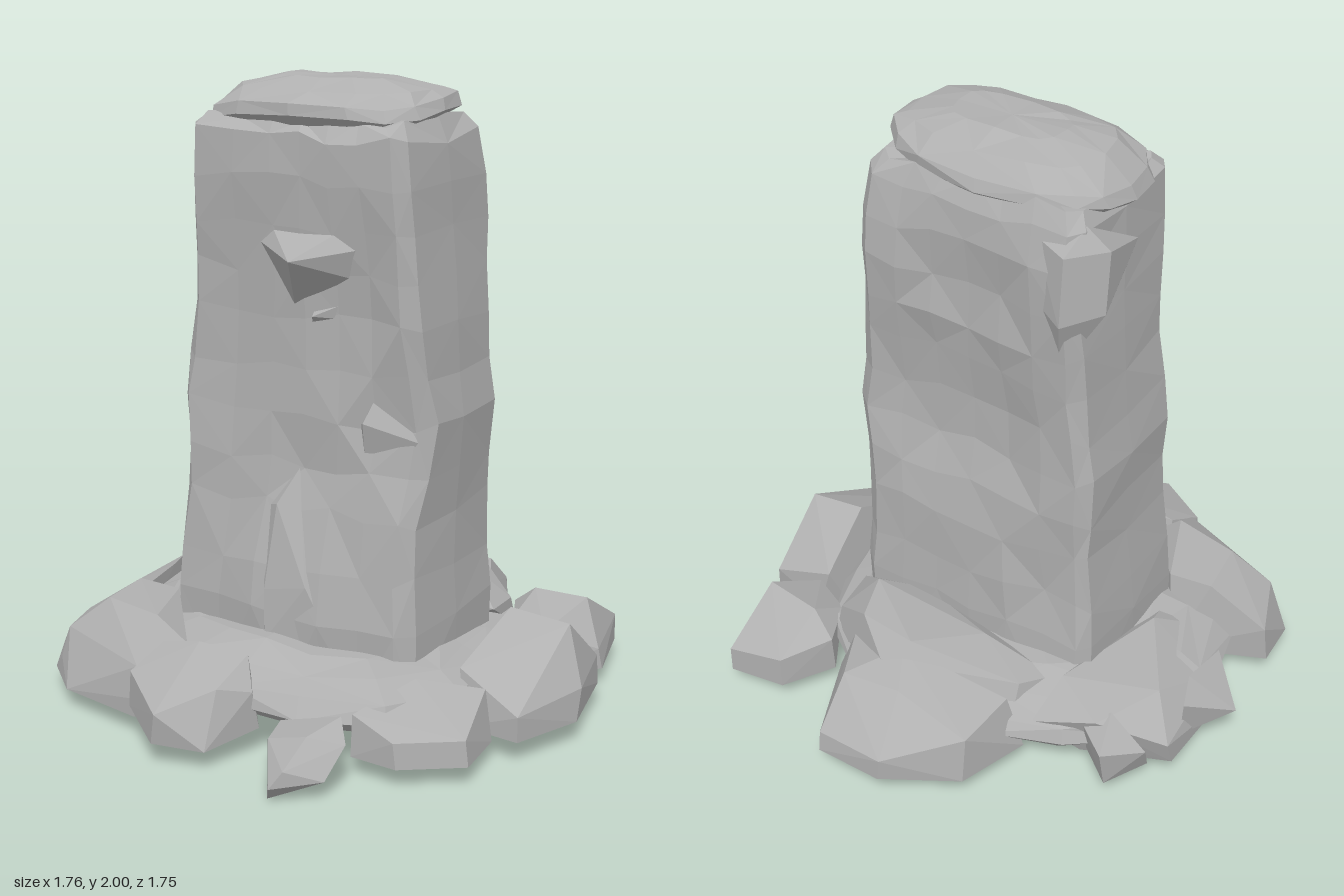
import * as THREE from 'three';
import { ConvexGeometry } from 'three/addons/geometries/ConvexGeometry.js';

const stone = new THREE.MeshStandardMaterial({ color: 0xb0b0b0, flatShading: true });
stone.name = 'grey stone';

const V = (x, y, z) => new THREE.Vector3(x, y, z);

function seeded(seed) {
  return () => {
    seed = (seed * 16807) % 2147483647;
    return seed / 2147483647 - 0.5;
  };
}

// Skin a stack of closed loops (bottom to top) with faceted faces and closed ends
function skin(loops) {
  const p = [];
  const tri = (a, b, c) => p.push(...a.toArray(), ...b.toArray(), ...c.toArray());
  const n = loops[0].length;
  for (let i = 0; i < loops.length - 1; i++) {
    for (let j = 0; j < n; j++) {
      const k = (j + 1) % n;
      const a = loops[i][j], b = loops[i][k], c = loops[i + 1][k], d = loops[i + 1][j];
      if ((i + j) % 2) { tri(a, b, c); tri(a, c, d); } else { tri(a, b, d); tri(b, c, d); }
    }
  }
  const centre = (l) => l.reduce((s, v) => s.add(v), V(0, 0, 0)).divideScalar(n);
  const bottom = loops[0], top = loops[loops.length - 1];
  const cb = centre(bottom), ct = centre(top);
  for (let j = 0; j < n; j++) {
    const k = (j + 1) % n;
    tri(bottom[k], bottom[j], cb);
    tri(top[j], top[k], ct);
  }
  const g = new THREE.BufferGeometry();
  g.setAttribute('position', new THREE.Float32BufferAttribute(p, 3));
  g.computeVertexNormals();
  return g;
}

// Chamfered rectangle, as fractions of the half extents
const section = [
  [-0.92, 1], [-0.55, 1], [-0.22, 1], [0.05, 1], [0.32, 1], [0.6, 1], [0.87, 1],
  [0.98, 0.84], [1, 0], [0.98, -0.84],
  [0.86, -1], [0.6, -1], [0.3, -1], [0, -1], [-0.3, -1], [-0.6, -1], [-0.88, -1],
  [-0.98, -0.84], [-1, 0], [-0.99, 0.86],
];

// Pillar rings: y, left x, right x, back z, front z
const rings = [
  [0.1, -0.45, 0.45, -0.29, 0.28], [0.34, -0.45, 0.45, -0.29, 0.28],
  [0.5, -0.44, 0.44, -0.285, 0.27], [0.68, -0.42, 0.44, -0.28, 0.255],
  [0.82, -0.42, 0.45, -0.27, 0.25], [0.97, -0.43, 0.47, -0.26, 0.245],
  [1.12, -0.41, 0.45, -0.26, 0.24], [1.28, -0.39, 0.44, -0.26, 0.24],
  [1.42, -0.385, 0.43, -0.27, 0.24], [1.56, -0.38, 0.42, -0.285, 0.25],
  [1.7, -0.375, 0.415, -0.275, 0.26], [1.83, -0.37, 0.4, -0.255, 0.26],
  [1.89, -0.34, 0.36, -0.22, 0.22],
];

// Hollows (positive) and swellings (negative): x, y, width, height, depth
const frontDents = [
  [-0.15, 1.15, 0.1, 0.3, 0.02], [0.2, 1.25, 0.15, 0.18, 0.025], [0.4, 0.95, 0.14, 0.18, 0.06],
  [0.1, 0.85, 0.18, 0.12, 0.02], [0, 0.32, 0.27, 0.3, -0.05],
];
const backDents = [
  [0, 1.56, 0.18, 0.14, 0.045], [0.05, 1.08, 0.28, 0.24, 0.045], [-0.34, 0.55, 0.12, 0.25, 0.035],
];
const dent = (list, x, y) => list.reduce((s, [cx, cy, w, h, d]) =>
  s + d * Math.exp(-((((x - cx) / w) ** 2 + ((y - cy) / h) ** 2) ** 2)), 0);

function pillarGeometry() {
  const rnd = seeded(77);
  return skin(rings.map(([y, x0, x1, z0, z1]) => section.map(([u, w]) => {
    const x = (x0 + x1) / 2 + u * (x1 - x0) / 2;
    let z = (z0 + z1) / 2 + w * (z1 - z0) / 2;
    if (w > 0.5) z -= dent(frontDents, x, y);
    if (w === -1) z += dent(backDents, x, y);
    return V(x + rnd() * 0.01, y + rnd() * 0.04, z + rnd() * 0.01);
  })));
}

// Worn cap stone, sagging to one side: y, half width, half depth
function capGeometry() {
  const rnd = seeded(31);
  const layers = [[1.85, 0.36, 0.22], [1.88, 0.4, 0.25], [1.92, 0.385, 0.245],
    [1.965, 0.32, 0.19], [1.995, 0.19, 0.1]];
  return skin(layers.map(([y, rx, rz], i) => Array.from({ length: 16 }, (_, j) => {
    const a = j / 16 * Math.PI * 2, c = Math.cos(a), s = Math.sin(a);
    const sq = (v) => Math.sign(v) * Math.abs(v) ** 0.7;
    const wave = i < 3 ? 0.015 * Math.sin(3 * a + 0.6) + 0.02 * c : 0;
    return V(sq(c) * rx + (i > 2 ? 0.03 : 0) + rnd() * 0.015,
      Math.min(2, y + wave + rnd() * 0.01), 0.01 - sq(s) * rz + rnd() * 0.015);
  })));
}

// Uneven ground slab, undercut below; outline radii running from +x towards the back
function slabGeometry() {
  const rnd = seeded(5);
  const radii = [0.6, 0.61, 0.66, 0.63, 0.65, 0.64, 0.7, 0.8, 0.76, 0.72, 0.7, 0.63, 0.61, 0.65, 0.72, 0.68];
  const layers = [[0.08, 0.6], [0.1, 0.9], [0.15, 1], [0.205, 0.95], [0.245, 0.82], [0.275, 0.64]];
  return skin(layers.map(([y, k], i) => radii.map((r, j) => {
    const a = j / radii.length * Math.PI * 2;
    const d = r * k * (1 + rnd() * 0.06);
    return V(Math.cos(a) * d, y + (i > 1 ? rnd() * 0.03 : 0), -Math.sin(a) * d);
  })));
}

// Rocks and shards, each the hull of a few corners
const rocks = {
  backRock: [[-0.35, 0.08, -0.5], [-0.28, 0.08, -0.74], [-0.05, 0.08, -0.88], [0.18, 0.08, -0.88],
    [0.37, 0.08, -0.52], [-0.28, 0.24, -0.72], [-0.06, 0.16, -0.88], [0.18, 0.15, -0.87], [0, 0.28, -0.69],
    [0.2, 0.27, -0.71], [-0.3, 0.27, -0.52], [0.08, 0.32, -0.55], [0.3, 0.25, -0.52]],
  backMound: [[0.05, 0.36, -0.55], [0.26, 0.35, -0.52], [0.42, 0.25, -0.44], [0.32, 0.36, -0.36], [0.44, 0.26, -0.28],
    [-0.1, 0.32, -0.35], [-0.3, 0.28, -0.45], [-0.36, 0.26, -0.34], [0.12, 0.3, -0.62], [0.2, 0.3, -0.25], [-0.3, 0.15, -0.5],
    [0.42, 0.15, -0.48], [0, 0.15, -0.6], [0, 0.15, -0.25]],
  rightRock: [[0.55, 0.07, -0.25], [0.62, 0.07, -0.32], [0.8, 0.07, -0.32], [0.88, 0.07, 0], [0.8, 0.07, 0.24],
    [0.6, 0.07, 0.22], [0.88, 0.17, -0.03], [0.79, 0.16, -0.33], [0.8, 0.15, 0.24], [0.8, 0.34, -0.1],
    [0.6, 0.36, -0.09], [0.57, 0.24, 0.18], [0.58, 0.22, -0.31]],
  backRightRock: [[0.38, 0.07, -0.54], [0.48, 0.06, -0.7], [0.67, 0.06, -0.73], [0.75, 0.06, -0.46], [0.62, 0.07, -0.32],
    [0.38, 0.2, -0.55], [0.48, 0.17, -0.7], [0.67, 0.15, -0.73], [0.74, 0.13, -0.45], [0.67, 0.28, -0.5],
    [0.47, 0.27, -0.52], [0.6, 0.2, -0.33], [0.45, 0.2, -0.4]],
  frontRightRock: [[0.42, 0.06, 0.57], [0.58, 0.06, 0.58], [0.75, 0.06, 0.45], [0.72, 0.06, 0.25], [0.45, 0.06, 0.3],
    [0.42, 0.19, 0.56], [0.57, 0.14, 0.58], [0.74, 0.14, 0.45], [0.68, 0.21, 0.22], [0.5, 0.24, 0.33]],
  smallFrontRock: [[0.3, 0, 0.83], [0.18, 0.09, 0.65], [0.33, 0.05, 0.87], [0.45, 0.06, 0.76], [0.46, 0.14, 0.66],
    [0.4, 0.19, 0.59], [0.2, 0.14, 0.61], [0.37, 0.17, 0.73], [0.28, 0.09, 0.62], [0.23, 0.13, 0.72], [0.36, 0.1, 0.84]],
  frontRock: [[-0.31, 0.1, 0.69], [-0.12, 0.07, 0.83], [0.04, 0.06, 0.78], [0.1, 0.08, 0.58], [-0.28, 0.07, 0.5],
    [-0.31, 0.21, 0.68], [-0.18, 0.22, 0.7], [-0.1, 0.17, 0.84], [0.03, 0.23, 0.7], [0.09, 0.2, 0.6],
    [-0.14, 0.3, 0.55], [-0.28, 0.27, 0.55], [0.02, 0.28, 0.52]],
  frontLeftRock: [[-0.8, 0.07, 0.3], [-0.78, 0.06, 0.48], [-0.62, 0.06, 0.62], [-0.3, 0.06, 0.68], [-0.24, 0.08, 0.45],
    [-0.5, 0.06, 0.18], [-0.72, 0.12, 0.52], [-0.3, 0.12, 0.68], [-0.7, 0.22, 0.5], [-0.3, 0.22, 0.66], [-0.24, 0.25, 0.48],
    [-0.57, 0.33, 0.45], [-0.34, 0.33, 0.5], [-0.6, 0.33, 0.25], [-0.45, 0.32, 0.24], [-0.79, 0.2, 0.29]],
  leftRock: [[-0.78, 0.08, -0.3], [-0.78, 0.08, 0], [-0.62, 0.06, 0.2], [-0.46, 0.06, 0.2], [-0.5, 0.06, -0.4],
    [-0.78, 0.17, -0.33], [-0.74, 0.18, 0.02], [-0.6, 0.2, 0.2], [-0.46, 0.23, 0.2], [-0.68, 0.27, -0.22],
    [-0.5, 0.29, 0.05], [-0.4, 0.29, -0.35], [-0.58, 0.25, -0.44], [-0.38, 0.2, -0.5]],
  leftShard: [[-0.88, 0.17, -0.07], [-0.77, 0.25, -0.22], [-0.72, 0.22, 0.1], [-0.75, 0.1, -0.2], [-0.74, 0.08, 0.05], [-0.72, 0.26, -0.1]],
  backLeftRock: [[-0.65, 0.22, -0.53], [-0.74, 0.18, -0.4], [-0.52, 0.22, -0.43], [-0.65, 0.08, -0.5], [-0.72, 0.08, -0.35], [-0.5, 0.08, -0.38], [-0.6, 0.26, -0.38]],
  // Carved ledges on the front of the pillar
  browLedge: [[-0.16, 1.51, 0.21], [0.26, 1.51, 0.22], [0.06, 1.47, 0.35], [0, 1.3, 0.22], [0.07, 1.38, 0.25],
    [-0.09, 1.56, 0.22], [0.19, 1.57, 0.22], [0.24, 1.4, 0.19]],
  lowerLedge: [[0.04, 1.22, 0.18], [0.23, 1.36, 0.19], [0.08, 1.29, 0.25], [0.22, 1.28, 0.18], [0.06, 1.33, 0.18]],
  cheekLedge: [[0.2, 0.95, 0.17], [0.3, 1.12, 0.17], [0.26, 0.98, 0.25], [0.24, 0.7, 0.18], [0.31, 0.93, 0.2], [0.42, 0.93, 0.19]],
  chinLedge: [[-0.12, 0.66, 0.23], [0.02, 0.8, 0.23], [-0.03, 0.69, 0.285], [0.1, 0.45, 0.325], [0.2, 0.26, 0.31],
    [-0.04, 0.26, 0.345], [-0.05, 0.42, 0.33], [0, 0.26, 0.2]],
  // Broken ridge wrapping the rear corner
  cornerRidge: [[-0.43, 1.78, -0.18], [-0.43, 1.58, -0.2], [-0.36, 1.48, -0.2], [-0.36, 1.85, -0.2], [-0.34, 1.56, -0.31],
    [-0.34, 1.78, -0.29], [-0.2, 1.6, -0.25], [-0.22, 1.8, -0.25], [-0.3, 1.36, -0.24], [-0.4, 1.72, 0.02], [-0.35, 1.6, 0.05]],
};

export function createModel() {
  const model = new THREE.Group();
  model.name = 'stonePillar';
  const add = (name, geometry) => {
    const mesh = new THREE.Mesh(geometry, stone);
    mesh.name = name;
    model.add(mesh);
  };
  add('pillar', pillarGeometry());
  add('capStone', capGeometry());
  add('groundSlab', slabGeometry());
  for (const [name, corners] of Object.entries(rocks)) {
    add(name, new ConvexGeometry(corners.map((c) => V(...c))));
  }
  return model;
}
